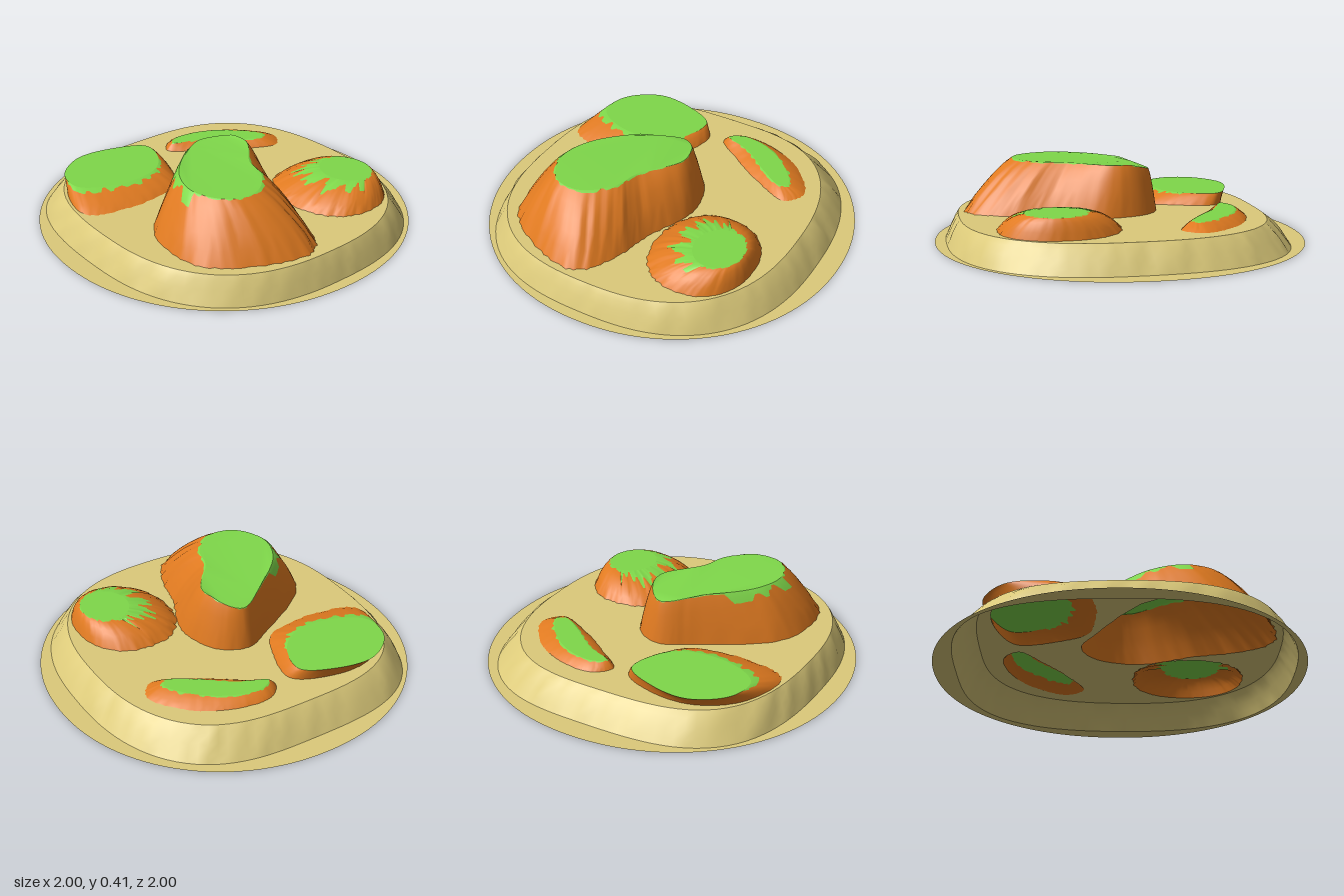
import * as THREE from 'three';

const N = 120; // samples around every outline
const GROUND = 0.14;
const material = (color) => new THREE.MeshStandardMaterial({ color, side: THREE.DoubleSide });
const sand = material(0xdcca7a), clay = material(0xe07a20), grass = material(0x7fd84a);

// Repeatable value in 0..1 for an index and a seed
const noise = (i, seed) => {
  const s = Math.sin(i * 12.9898 + seed * 78.233) * 43758.5453;
  return s - Math.floor(s);
};

// Rounded height fraction while climbing a slope
const rise = (t, k) => 1 - (1 - t) ** k;

// Smooth closed outline through points [x, z]
function freeform(points) {
  const curve = new THREE.CatmullRomCurve3(points.map(([x, z]) => new THREE.Vector3(x, 0, z)), true);
  return Array.from({ length: N }, (_, i) => curve.getPoint(i / N));
}

// Squarish oval outline; power(cos, sin) sets how square it is
function oval(cx, cz, rx, rz, power) {
  return Array.from({ length: N }, (_, i) => {
    const a = (i / N) * Math.PI * 2, c = Math.cos(a), s = Math.sin(a), n = power(c, s);
    const r = (Math.abs(c) ** n + Math.abs(s) ** n) ** (-1 / n);
    return new THREE.Vector3(cx + rx * r * c, 0, cz + rz * r * s);
  });
}

function meshOf(name, points, index, mat) {
  const geo = new THREE.BufferGeometry().setFromPoints(points);
  geo.setIndex(index);
  geo.computeVertexNormals();
  const mesh = new THREE.Mesh(geo, mat);
  mesh.name = name;
  return mesh;
}

// Skin stretched over a stack of closed rings
function skin(name, rings, mat) {
  const index = [];
  for (let r = 0; r < rings.length - 1; r++) {
    for (let i = 0; i < N; i++) {
      const a = r * N + i, b = r * N + (i + 1) % N;
      index.push(a, a + N, b, b, a + N, b + N);
    }
  }
  return meshOf(name, rings.flat(), index, mat);
}

// Sheet filling a ring, with holes
function sheet(name, ring, holes, mat) {
  const flat = (r) => r.map((p) => new THREE.Vector2(p.x, p.z));
  const faces = THREE.ShapeUtils.triangulateShape(flat(ring), holes.map(flat));
  return meshOf(name, [ring, ...holes].flat(), faces.flatMap(([a, b, c]) => [a, c, b]), mat);
}

// Hill between a base and a top outline; grass spills down the slope by spill(p)
function hill({ name, base, top, topY, round, spill, seed }) {
  const ringAt = (f) => base.map((b, i) => {
    const t = f(i), ridge = (noise(Math.floor(i / 2), seed) - 0.5) * 0.05;
    const p = b.clone().lerp(top[i], t + ridge * Math.sin(Math.PI * t));
    return p.setY(GROUND + (topY(top[i]) - GROUND) * rise(t, round));
  });
  const foot = (i) => 0.06 * noise(i, seed + 3);
  const edge = (i) => 1 - spill(top[i]) * noise(Math.floor(i / 2), seed + 7);
  const slope = [0, 0.2, 0.4, 0.6, 0.8, 1].map((s) => ringAt((i) => foot(i) + (edge(i) - foot(i)) * s));
  slope[0].forEach((p) => p.setY(GROUND));
  const lip = [0, 0.5, 1].map((s) => ringAt((i) => edge(i) + (1 - edge(i)) * s));
  const group = new THREE.Group();
  group.name = name;
  group.add(
    skin('slope', slope, clay),
    skin('grassEdge', lip, grass),
    sheet('grassTop', lip[2], [], grass),
  );
  return { group, footRing: slope[0] };
}

// Hill whose outlines are given as rows [base x, base z, top x, top z]
const rowHill = (rows, options) => hill({
  base: freeform(rows.map((r) => r.slice(0, 2))),
  top: freeform(rows.map((r) => r.slice(2))),
  ...options,
});

const tallMesa = () => rowHill([
  [-0.03, -0.21, -0.02, -0.165], [0.12, -0.14, 0.07, -0.09],
  [0.2, 0.1, 0.1, 0.06], [0.09, 0.42, -0.05, 0.27],
  [0.03, 0.65, -0.1, 0.42], [-0.1, 0.83, -0.24, 0.54],
  [-0.4, 0.76, -0.39, 0.52], [-0.64, 0.55, -0.48, 0.35],
  [-0.6, 0.16, -0.42, 0.15], [-0.2, -0.13, -0.16, -0.09],
], {
  name: 'tallMesa', seed: 1, round: 1.3,
  topY: (p) => 0.408 - 0.3 * Math.max(0, -0.04 - p.z),
  spill: (p) => (p.x < -0.3 && p.z < 0.35 ? 0.35 : 0.06),
});

const backMesa = () => rowHill([
  [-0.48, -0.65, -0.48, -0.7], [-0.22, -0.64, -0.25, -0.67],
  [-0.06, -0.55, -0.1, -0.58], [-0.1, -0.34, -0.14, -0.41],
  [-0.2, -0.17, -0.26, -0.3], [-0.52, -0.12, -0.5, -0.29],
  [-0.76, -0.2, -0.68, -0.4], [-0.69, -0.5, -0.66, -0.57],
], {
  name: 'backMesa', seed: 2, round: 1.3,
  topY: () => 0.2,
  spill: (p) => (p.z > -0.5 && p.x < -0.15 ? 0.3 : 0.04),
});

const roundHill = () => hill({
  name: 'roundHill', seed: 3, round: 1.8,
  base: oval(0.41, 0.39, 0.28, 0.32, () => 2.2),
  top: oval(0.51, 0.42, 0.13, 0.15, () => 2),
  topY: () => 0.245,
  spill: (p) => (p.x < 0.5 ? 0.6 : 0.12),
});

const lowRidge = () => rowHill([
  [0.03, -0.55, 0.07, -0.55], [0.11, -0.64, 0.13, -0.59],
  [0.3, -0.63, 0.28, -0.57], [0.5, -0.53, 0.45, -0.46],
  [0.65, -0.32, 0.55, -0.31], [0.58, -0.21, 0.51, -0.28],
  [0.38, -0.29, 0.39, -0.35], [0.17, -0.43, 0.22, -0.48],
], {
  name: 'lowRidge', seed: 4, round: 1.3,
  topY: () => 0.178,
  spill: () => 0.2,
});

export function createModel() {
  const model = new THREE.Group();
  model.name = 'island';

  // Sandy bank, eroded and squarer towards the back left
  const power = (c, s) => 2.5 - 0.5 * Math.min(0, s) * (1 - 0.6 * c);
  const foot = oval(0, 0.03, 0.89, 0.91, power);
  const brow = oval(-0.015, 0.055, 0.795, 0.815, power);
  const bank = [0, 0.2, 0.45, 0.75, 1].map((t) => foot.map((p, i) => {
    const wear = (noise(i, 9) - 0.5) * 0.16 * Math.sin(Math.PI * t);
    return p.clone().lerp(brow[i], t + wear).setY(GROUND * rise(t, 1.25));
  }));

  // Shore disc around the foot of the bank
  const shore = oval(0, 0, 1, 1, () => 2.08);
  model.add(skin('shore', [shore, foot], sand), skin('bank', bank, sand));

  // Hills, and the plateau cut open beneath them
  const hills = [tallMesa(), backMesa(), roundHill(), lowRidge()];
  hills.forEach(({ group }) => model.add(group));
  model.add(sheet('plateau', bank.at(-1), hills.map((h) => h.footRing), sand));
  return model;
}
